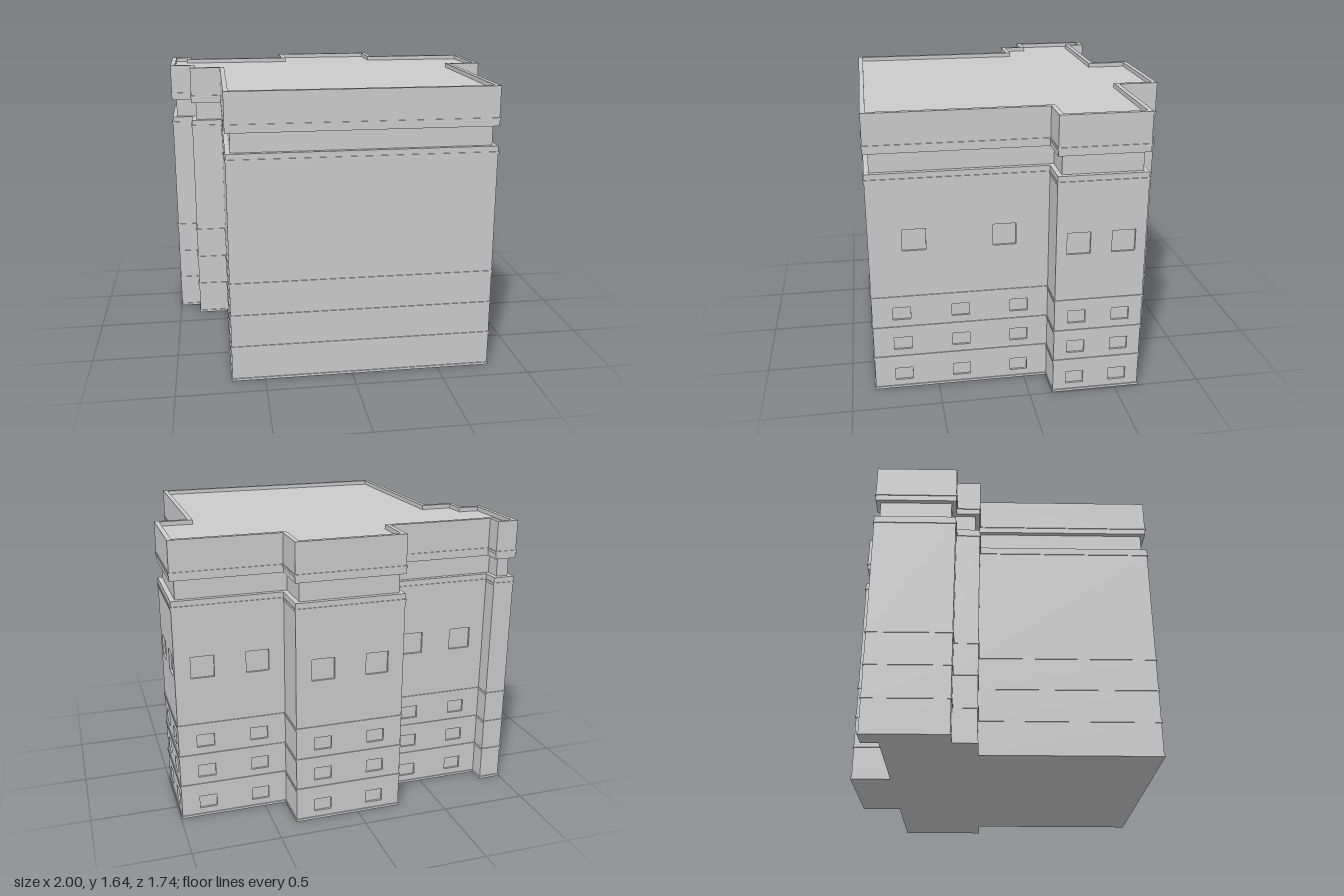
import * as THREE from 'three';

const material = new THREE.MeshStandardMaterial({ color: 0xcccccc, flatShading: true });

// Floor plan, counter-clockwise, as [x, -z]
const PLAN = [
  [-0.685, -0.865], [0.8, -0.865], [0.8, 0.135], [0.99, 0.135],
  [0.99, 0.635], [0.37, 0.635], [0.37, 0.865], [-0.255, 0.865],
  [-0.255, 0.635], [-0.87, 0.635], [-0.87, 0.73], [-0.995, 0.73],
  [-0.995, 0.27], [-0.87, 0.27], [-0.87, 0.135], [-0.685, 0.135],
];
const N = PLAN.length;
const RECESS = 0.012;

// Length, direction and outward normal of wall i
function wall(i) {
  const a = PLAN[(i + N) % N], b = PLAN[(i + 1) % N];
  const length = Math.hypot(b[0] - a[0], b[1] - a[1]);
  const dx = (b[0] - a[0]) / length, dy = (b[1] - a[1]) / length;
  return { a, length, dx, dy, nx: dy, ny: -dx };
}

// Floor plan moved outward by d (negative = inward)
function outline(d) {
  return PLAN.map(([x, y], i) => {
    const p = wall(i - 1), q = wall(i);
    return new THREE.Vector2(x + d * (p.nx + q.nx), y + d * (p.ny + q.ny));
  });
}

function addSlab(group, name, y0, y1, offset, holeOffset) {
  const shape = new THREE.Shape(outline(offset));
  if (holeOffset !== undefined) shape.holes.push(new THREE.Path(outline(holeOffset)));
  const geometry = new THREE.ExtrudeGeometry(shape, { depth: y1 - y0, bevelEnabled: false });
  geometry.rotateX(-Math.PI / 2).translate(0, y0, 0);
  const mesh = new THREE.Mesh(geometry, material);
  mesh.name = name;
  group.add(mesh);
}

// Thin wall panel with evenly spaced window openings
function addWallPanel(group, i, y0, y1, count, win) {
  const w = wall(i);
  const shape = new THREE.Shape([
    new THREE.Vector2(0, y0), new THREE.Vector2(w.length, y0),
    new THREE.Vector2(w.length, y1), new THREE.Vector2(0, y1),
  ]);
  for (let k = 0; k < count; k++) {
    const cx = w.length * (k + 0.5) / count, h = win.width / 2;
    const s = y0 + win.sill, t = s + win.height;
    shape.holes.push(new THREE.Path([
      new THREE.Vector2(cx - h, s), new THREE.Vector2(cx - h, t),
      new THREE.Vector2(cx + h, t), new THREE.Vector2(cx + h, s),
    ]));
  }
  const mesh = new THREE.Mesh(
    new THREE.ExtrudeGeometry(shape, { depth: RECESS, bevelEnabled: false }), material);
  mesh.name = count ? 'windowWall' : 'plainWall';
  mesh.rotation.y = Math.atan2(w.dy, w.dx);
  mesh.position.set(w.a[0] - w.nx * RECESS, 0, -(w.a[1] - w.ny * RECESS));
  group.add(mesh);
}

export function createModel() {
  const model = new THREE.Group();
  model.name = 'building';

  // Core behind the walls; its surface forms the window panes
  addSlab(model, 'core', 0, 1.27, -RECESS);

  // Three low floors and one tall floor
  const small = { width: 0.1, height: 0.075, sill: 0.05 };
  const large = { width: 0.13, height: 0.125, sill: 0.28 };
  const floors = [[0, 0.2, small], [0.2, 0.39, small], [0.39, 0.58, small], [0.58, 1.27, large]];
  const windowed = [1, 3, 4, 6, 8];
  floors.forEach(([y0, y1, win], f) => {
    const floor = new THREE.Group();
    floor.name = 'floor' + (f + 1);
    for (let i = 0; i < N; i++) {
      let count = windowed.includes(i) ? 2 : 0;
      if (i === 1 && win === small) count = 3;
      addWallPanel(floor, i, y0, y1, count, win);
    }
    model.add(floor);
  });

  // Projecting string courses
  for (const y of [0, 0.195, 0.383, 0.572, 1.265, 1.453]) {
    addSlab(model, 'stringCourse', y, y + 0.014, 0.005);
  }

  // Ledge, recessed neck, top block and parapet
  addSlab(model, 'ledge', 1.27, 1.31, 0);
  addSlab(model, 'neck', 1.31, 1.42, -0.027);
  addSlab(model, 'topBlock', 1.42, 1.615, 0);
  addSlab(model, 'parapet', 1.615, 1.64, 0, -0.027);

  return model;
}
